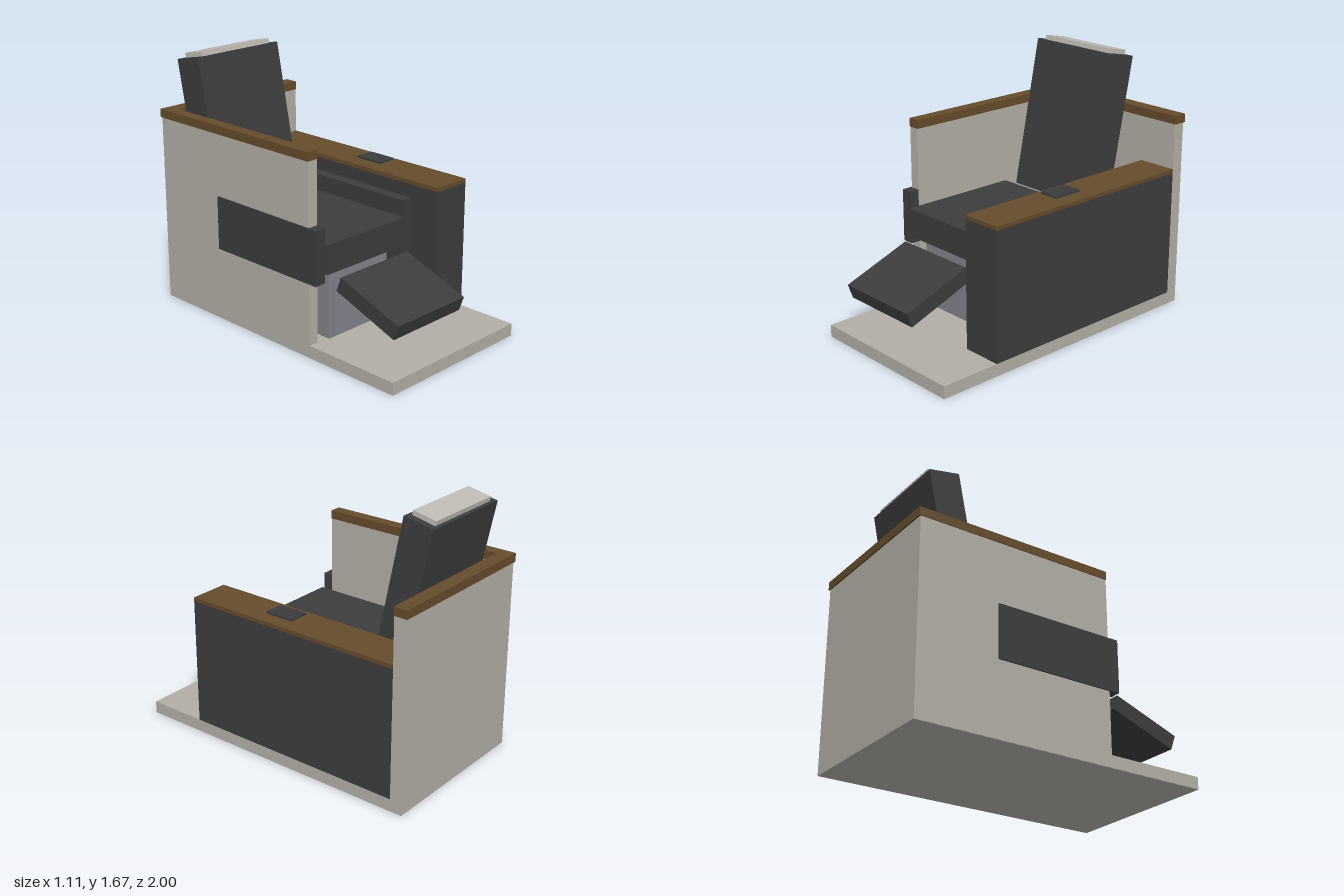
import * as THREE from 'three';

const mat = (name, color) => {
  const m = new THREE.MeshStandardMaterial({ color });
  m.name = name;
  return m;
};

export function createModel() {
  const group = new THREE.Group();
  const shell = mat('warm grey shell', 0xb2aea5);
  const wood = mat('brown wood', 0x654b2b);
  const leather = mat('charcoal leather', 0x3c3c3c);
  const cushion = mat('pale cushion', 0xbeb9b3);
  const steel = mat('blue grey base', 0x82838c);
  const device = mat('dark slate', 0x3a3b3d);

  // Box from its [min, max] range on each axis
  const box = (name, material, [x0, x1], [y0, y1], [z0, z1], parent = group) => {
    const mesh = new THREE.Mesh(new THREE.BoxGeometry(x1 - x0, y1 - y0, z1 - z0), material);
    mesh.position.set((x0 + x1) / 2, (y0 + y1) / 2, (z0 + z1) / 2);
    mesh.name = name;
    parent.add(mesh);
    return mesh;
  };

  // Shell: floor, rear wall and side wall, with wooden rails on top
  box('floor', shell, [-0.545, 0.545], [0, 0.08], [-0.99, 1]);
  box('rearWall', shell, [-0.545, 0.545], [0.08, 1.225], [-0.99, -0.91]);
  box('sideWall', shell, [-0.545, -0.477], [0.08, 1.225], [-0.91, 0.335]);
  box('rearRail', wood, [-0.55, 0.55], [1.225, 1.28], [-1, -0.91]);
  box('sideRail', wood, [-0.55, -0.472], [1.225, 1.28], [-0.91, 0.335]);

  // Side console with a wooden top and a small control tablet
  box('console', leather, [0.28, 0.545], [0.08, 0.905], [-0.91, 0.6]);
  box('consoleTop', wood, [0.28, 0.545], [0.905, 0.93], [-0.91, 0.6]);
  box('tablet', device, [0.348, 0.478], [0.948, 0.96], [-0.13, 0.065]);

  // Seat on its base, between two armrests
  box('seatBase', steel, [-0.395, 0.105], [0.08, 0.535], [-0.35, 0.35]);
  box('seat', leather, [-0.475, 0.185], [0.535, 0.72], [-0.405, 0.415]);
  box('rightArmrest', leather, [-0.555, -0.479], [0.48, 0.825], [-0.46, 0.4]);
  box('leftArmrest', leather, [0.19, 0.268], [0.48, 0.825], [-0.46, 0.4]);

  // Reclined backrest, with its headrest set into the top
  const back = new THREE.Group();
  back.name = 'backrestAssembly';
  back.position.set(-0.145, 1.625, -0.8);
  back.rotation.x = -THREE.MathUtils.degToRad(11.5);
  group.add(back);
  box('backrest', leather, [-0.33, 0.33], [-0.985, 0], [-0.102, 0.102], back);
  box('headrest', cushion, [-0.28, 0.28], [-0.03, 0.03], [-0.08, 0.08], back);

  // Leg rest sloping down to the front
  const legRest = box('legRest', leather, [-0.435, 0.145], [0.35, 0.45], [0.453, 0.933]);
  legRest.rotation.x = THREE.MathUtils.degToRad(20);

  return group;
}
